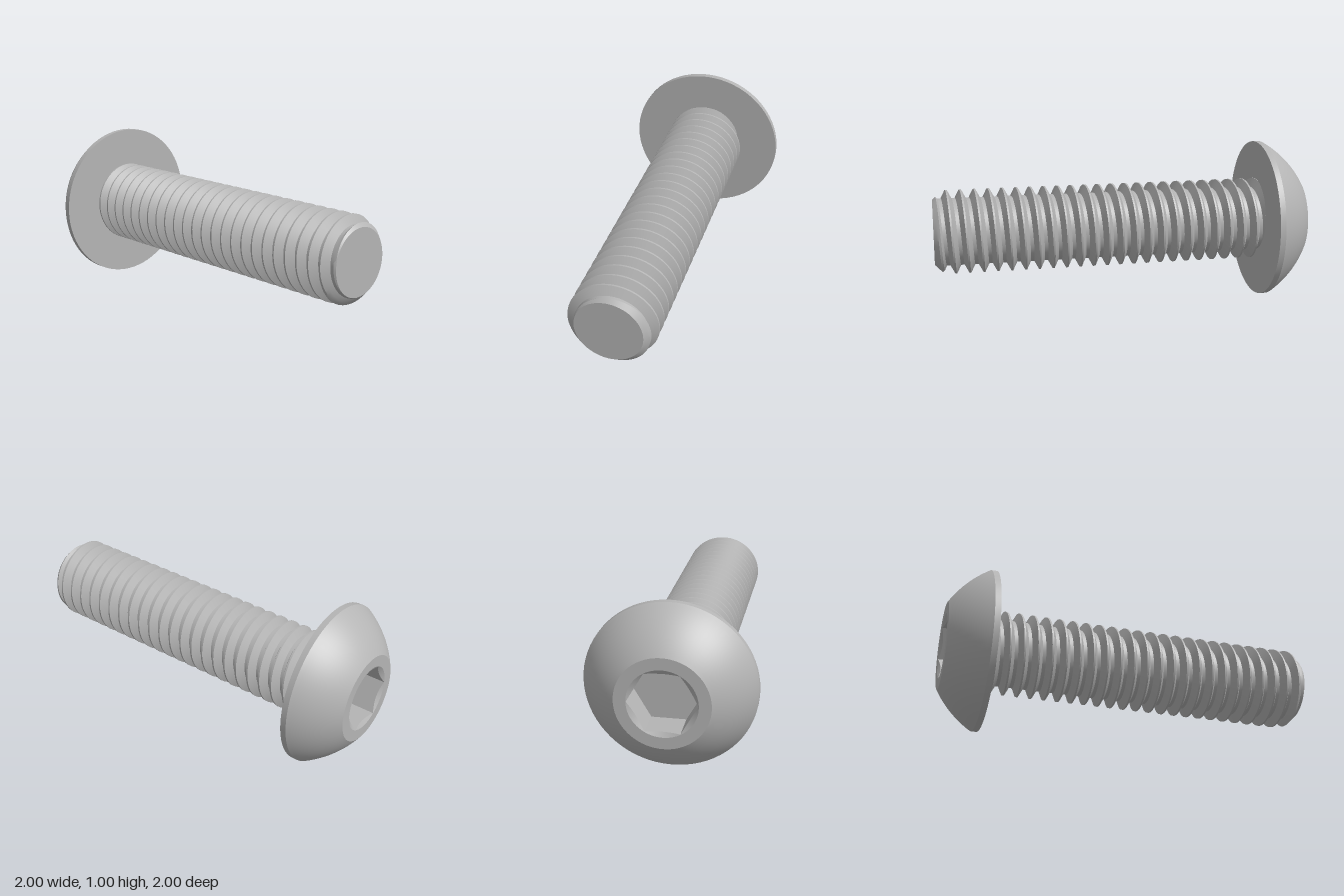
import * as THREE from 'three';
import { toCreasedNormals } from 'three/addons/utils/BufferGeometryUtils.js';

const AXIS_Y = 0.498;
const SEG = 72;

// Head stations along the screw axis (local z)
const HEAD_TOP = -1.117, RIM_TOP = -0.885, HEAD_BASE = -0.849;
const HEAD_R = 0.498, FLAT_R = 0.27;

// Socket
const HOLE_R = 0.2, HEX_FLAT = 0.172, SOCKET_FLOOR = -0.937;

// Thread
const PITCH = 0.086, CREST_R = 0.259, ROOT_R = 0.207;
const START = -0.86, END = 1.216, TIP_R = 0.2;

// Skin consecutive rings of points, dropping collapsed triangles
function skin(rings) {
  const pos = [];
  const tri = (a, b, c) => {
    const area = b.clone().sub(a).cross(c.clone().sub(a)).length();
    if (area > 1e-8) for (const p of [a, b, c]) pos.push(p.x, p.y, p.z);
  };
  for (let i = 0; i < rings.length - 1; i++) {
    for (let j = 0; j < SEG; j++) {
      const a = rings[i][j], b = rings[i][j + 1];
      const c = rings[i + 1][j], d = rings[i + 1][j + 1];
      tri(a, b, c);
      tri(b, d, c);
    }
  }
  const g = new THREE.BufferGeometry();
  g.setAttribute('position', new THREE.Float32BufferAttribute(pos, 3));
  return toCreasedNormals(g, 0.4);
}

// One ring; fn(angle) returns [radius, z]
function ring(fn) {
  return Array.from({ length: SEG + 1 }, (_, j) => {
    const a = (j / SEG) * Math.PI * 2;
    const [r, z] = fn(a);
    return new THREE.Vector3(r * Math.cos(a), r * Math.sin(a), z);
  });
}

// Domed head with a flat top, thin rim and flat underside
function headGeometry() {
  const dome = new THREE.QuadraticBezierCurve(
    new THREE.Vector2(FLAT_R, HEAD_TOP),
    new THREE.Vector2(0.413, -1.03),
    new THREE.Vector2(HEAD_R, RIM_TOP)
  ).getPoints(14);
  const profile = [
    new THREE.Vector2(HOLE_R, HEAD_TOP),
    ...dome,
    new THREE.Vector2(HEAD_R, HEAD_BASE),
    new THREE.Vector2(0, HEAD_BASE),
  ];
  const g = new THREE.LatheGeometry(profile, SEG);
  g.rotateX(Math.PI / 2);
  return toCreasedNormals(g, 0.4);
}

// Hexagonal socket opening through a shallow countersink
function socketGeometry() {
  const hex = (a) => {
    const sector = Math.PI / 3;
    return HEX_FLAT / Math.cos((a % sector) - sector / 2);
  };
  return skin([
    ring(() => [0, SOCKET_FLOOR]),
    ring((a) => [hex(a), SOCKET_FLOOR]),
    ring((a) => [hex(a), HEAD_TOP + (HOLE_R - hex(a)) * 0.6]),
    ring(() => [HOLE_R, HEAD_TOP]),
  ]);
}

// Right-hand helical thread with a 45 degree chamfer at the tip
function threadGeometry() {
  const offsets = [-0.375, -0.22, -0.0625, 0.0625, 0.22, 0.375];
  const rings = [];
  for (let turn = -25; turn <= 2; turn++) {
    for (const o of offsets) {
      const k = THREE.MathUtils.clamp((0.375 - Math.abs(o)) / 0.3125, 0, 1);
      const threadR = ROOT_R + (CREST_R - ROOT_R) * k;
      rings.push(ring((a) => {
        const z = 1.107 + (turn + o + a / (Math.PI * 2)) * PITCH;
        if (z <= START) return [ROOT_R, START];
        if (z >= END) return [TIP_R, END];
        return [Math.min(threadR, TIP_R + END - z), z];
      }));
    }
  }
  return skin(rings);
}

export function createModel() {
  const steel = new THREE.MeshStandardMaterial({ color: 0xb4b4b4 });
  steel.name = 'steel grey';

  const screw = new THREE.Group();
  screw.name = 'buttonHeadScrew';
  const add = (name, geometry) => {
    const mesh = new THREE.Mesh(geometry, steel);
    mesh.name = name;
    screw.add(mesh);
    return mesh;
  };

  add('head', headGeometry());
  add('hexSocket', socketGeometry());
  add('threadedShank', threadGeometry());
  add('tipFace', new THREE.CircleGeometry(TIP_R, SEG)).position.z = END;

  // Lay the screw diagonally, tip towards front left
  screw.rotation.y = Math.PI / 4;
  screw.position.y = AXIS_Y;

  const model = new THREE.Group();
  model.name = 'screwModel';
  model.add(screw);
  return model;
}
